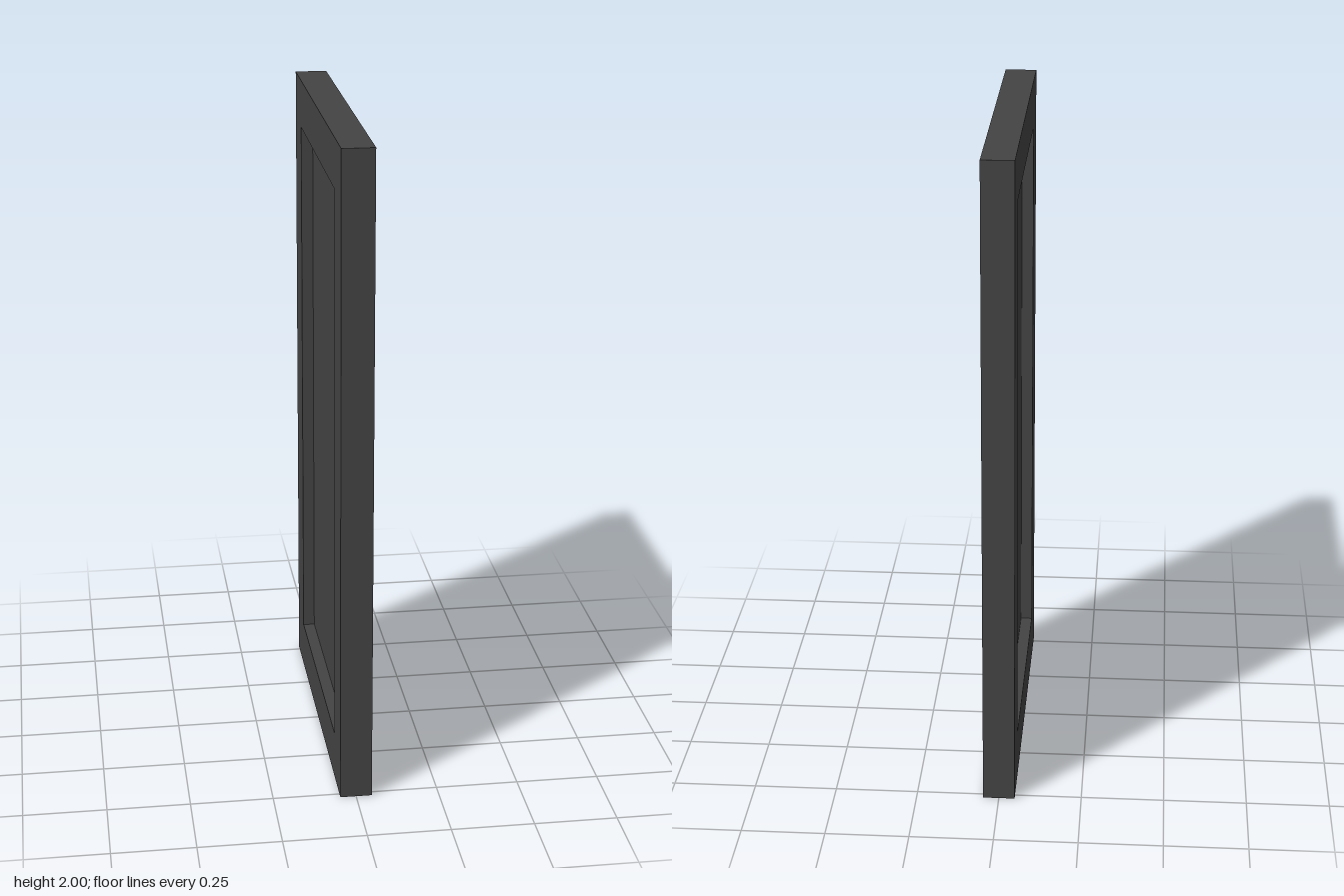
import * as THREE from 'three';

const HEIGHT = 2, WIDTH = 1.04, THICK = 0.096;
const RAIL = 0.147, STILE = 0.135, RECESS = 0.036;

export function createModel() {
  const door = new THREE.Group();
  door.name = 'cabinetDoor';
  const material = new THREE.MeshStandardMaterial({ color: 0x444444, flatShading: true });

  const rectangle = (Path, w, h) => new Path([
    new THREE.Vector2(-w / 2, -h / 2), new THREE.Vector2(w / 2, -h / 2),
    new THREE.Vector2(w / 2, h / 2), new THREE.Vector2(-w / 2, h / 2),
  ]);

  // Raised border around the sunken panel, on the -x side
  const outline = rectangle(THREE.Shape, WIDTH, HEIGHT);
  outline.holes.push(rectangle(THREE.Path, WIDTH - 2 * STILE, HEIGHT - 2 * RAIL));
  const frameGeometry = new THREE.ExtrudeGeometry(outline, { depth: RECESS, bevelEnabled: false });
  frameGeometry.rotateY(-Math.PI / 2);
  const frame = new THREE.Mesh(frameGeometry, material);
  frame.name = 'frame';
  frame.position.set(RECESS - THICK / 2, HEIGHT / 2, 0);
  door.add(frame);

  // Solid slab behind the frame; its face forms the sunken panel
  const slab = new THREE.Mesh(new THREE.BoxGeometry(THICK - RECESS, HEIGHT, WIDTH), material);
  slab.name = 'panel';
  slab.position.set(RECESS / 2, HEIGHT / 2, 0);
  door.add(slab);

  return door;
}
